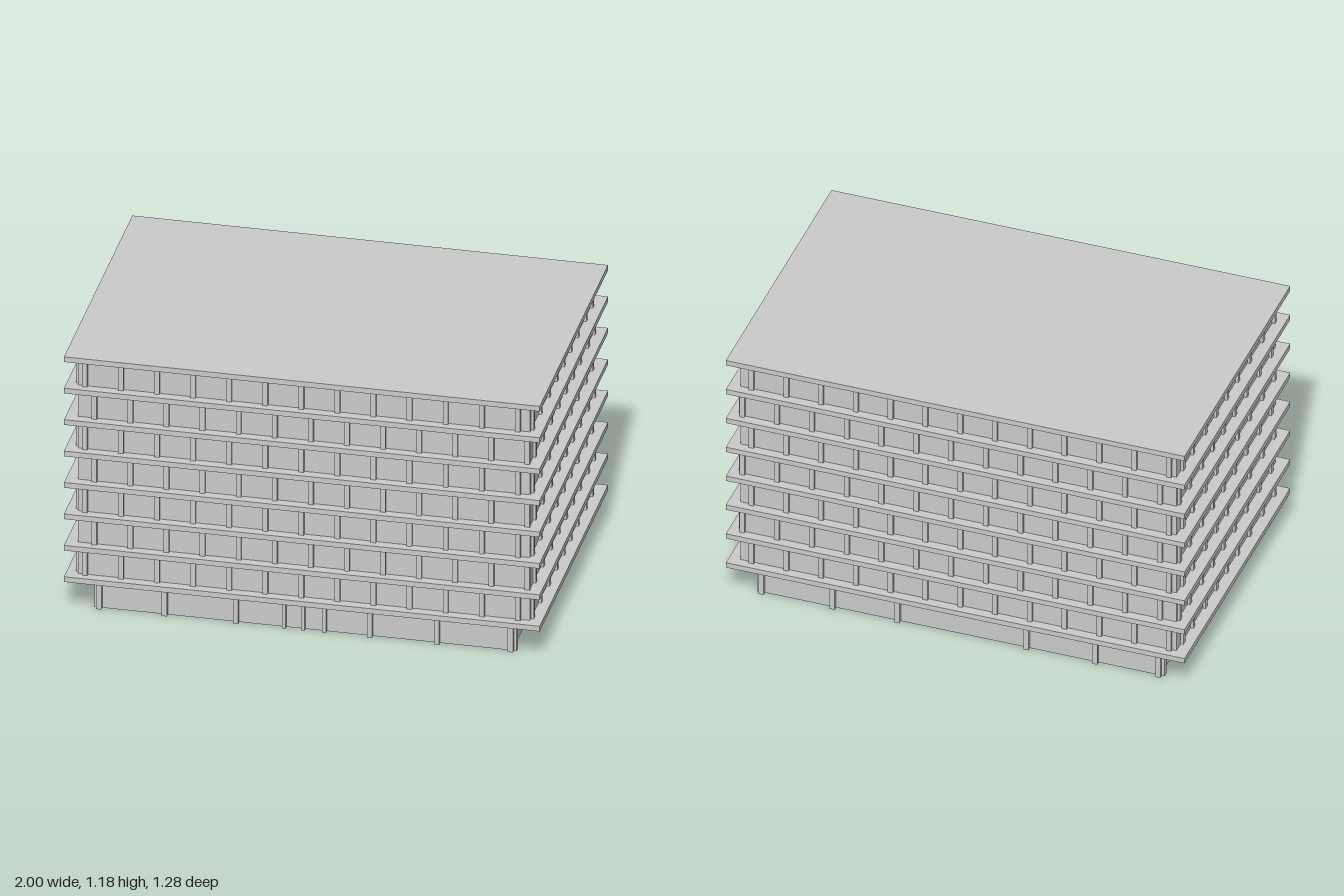
import * as THREE from 'three';

const material = new THREE.MeshStandardMaterial({ color: 0xcccccc, flatShading: true });

// Box given by its minimum and maximum corners
function block(parent, name, x0, x1, y0, y1, z0, z1) {
  const mesh = new THREE.Mesh(new THREE.BoxGeometry(x1 - x0, y1 - y0, z1 - z0), material);
  mesh.position.set((x0 + x1) / 2, (y0 + y1) / 2, (z0 + z1) / 2);
  mesh.name = name;
  parent.add(mesh);
}

// Walls of one storey with vertical fins standing proud on all four sides
function storey(name, y0, y1, halfX, halfZ, proud, finsX, finsZ) {
  const group = new THREE.Group();
  group.name = name;
  block(group, 'walls', -halfX, halfX, y0, y1, -halfZ, halfZ);
  const w = 0.011;
  const inset = 0.01;
  for (const x of finsX) {
    block(group, 'frontFin', x - w, x + w, y0, y1, halfZ - inset, halfZ + proud);
    block(group, 'backFin', x - w, x + w, y0, y1, -halfZ - proud, -halfZ + inset);
  }
  for (const z of finsZ) {
    block(group, 'leftFin', halfX - inset, halfX + proud, y0, y1, z - w, z + w);
    block(group, 'rightFin', -halfX - proud, -halfX + inset, y0, y1, z - w, z + w);
  }
  return group;
}

export function createModel() {
  const building = new THREE.Group();
  building.name = 'officeBuilding';

  const floors = 7;
  const pitch = 0.1455;
  const slabBottom = 0.138;
  const slabThickness = 0.024;

  // Ground floor, set back below the first slab
  building.add(storey('groundFloor', 0, slabBottom, 0.87, 0.57, 0.018,
    [-0.865, -0.59, -0.29, 0.273, 0.555, 0.865],
    [0.56, 0.3, -0.008, -0.29, -0.56]));

  // Double entrance door frame
  const door = new THREE.Group();
  door.name = 'entranceFrame';
  for (const [x0, x1] of [[-0.095, -0.08], [-0.012, 0], [0.073, 0.09]]) {
    block(door, 'doorPost', x0, x1, 0, 0.115, 0.56, 0.588);
  }
  block(door, 'doorLintel', -0.095, 0.09, 0.115, 0.134, 0.56, 0.588);
  building.add(door);

  // Projecting slabs, the last one being the roof
  for (let i = 0; i <= floors; i++) {
    const y = slabBottom + i * pitch;
    block(building, i < floors ? 'floorSlab' : 'roofSlab', -1, 1, y, y + slabThickness, -0.64, 0.64);
  }

  // Upper storeys: every second one has its fins shifted sideways
  const baseX = Array.from({ length: 13 }, (_, i) => -0.92 + i * 0.1517);
  const baseZ = [0.57, 0.426, 0.272, 0.128, -0.005, -0.135, -0.267, -0.416, -0.536];
  for (let i = 0; i < floors; i++) {
    const shift = i % 2 ? 0.04 : 0;
    const y0 = slabBottom + slabThickness + i * pitch;
    const y1 = slabBottom + (i + 1) * pitch;
    building.add(storey('upperFloor', y0, y1, 0.95, 0.598, 0.012,
      baseX.map((x) => x + shift), baseZ.map((z) => z - shift)));
  }
  return building;
}
